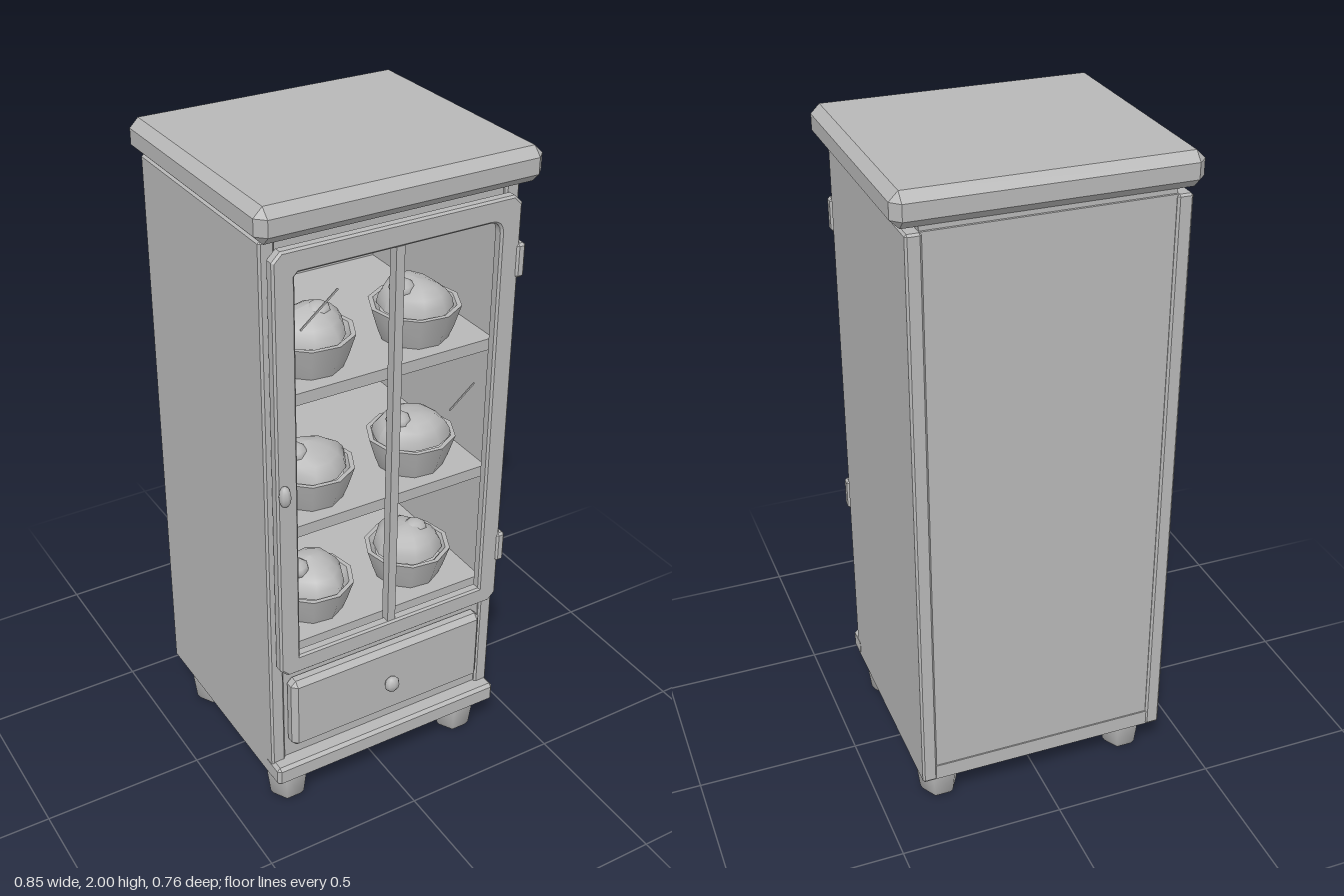
import * as THREE from 'three';
import { ConvexGeometry } from 'three/addons/geometries/ConvexGeometry.js';
import { toCreasedNormals } from 'three/addons/utils/BufferGeometryUtils.js';

const grey = new THREE.MeshStandardMaterial({ color: 0xb8b8b8 });
grey.name = 'plain grey';

function add(parent, name, geometry, x = 0, y = 0, z = 0) {
  const mesh = new THREE.Mesh(geometry, grey);
  mesh.name = name;
  mesh.position.set(x, y, z);
  parent.add(mesh);
  return mesh;
}

// Box given by its limits, with optional chamfer c on every edge
function box(parent, name, [x0, x1], [y0, y1], [z0, z1], c = 0) {
  const w = x1 - x0, h = y1 - y0, d = z1 - z0;
  let geometry;
  if (c) {
    const points = [];
    for (const sx of [-1, 1]) for (const sy of [-1, 1]) for (const sz of [-1, 1]) {
      const a = w / 2, b = h / 2, e = d / 2;
      points.push(
        new THREE.Vector3(sx * a, sy * (b - c), sz * (e - c)),
        new THREE.Vector3(sx * (a - c), sy * b, sz * (e - c)),
        new THREE.Vector3(sx * (a - c), sy * (b - c), sz * e));
    }
    geometry = new ConvexGeometry(points);
  } else geometry = new THREE.BoxGeometry(w, h, d);
  return add(parent, name, geometry, (x0 + x1) / 2, (y0 + y1) / 2, (z0 + z1) / 2);
}

function lathe(profile, sides, start = 0) {
  return new THREE.LatheGeometry(profile.map(([r, y]) => new THREE.Vector2(r, y)), sides, start);
}

// Glazed door: chamfered outline, one opening with rounded top corners
function doorFrame() {
  const X = 0.374, top = 1.87, bottom = 0.545, k = 0.025;
  const shape = new THREE.Shape([
    [-X + k, bottom], [X - k, bottom], [X, bottom + k], [X, top - k],
    [X - k, top], [-X + k, top], [-X, top - k], [-X, bottom + k],
  ].map(([x, y]) => new THREE.Vector2(x, y)));
  const a = 0.31, t = 1.805, b = 0.605, r = 0.035;
  const hole = new THREE.Path();
  hole.moveTo(-a, b);
  hole.lineTo(-a, t - 0.01);
  hole.lineTo(-a + 0.01, t);
  hole.lineTo(a - r, t);
  hole.quadraticCurveTo(a, t, a, t - r);
  hole.lineTo(a, b);
  hole.closePath();
  shape.holes.push(hole);
  return new THREE.ExtrudeGeometry(shape, {
    depth: 0.022, bevelEnabled: true, bevelThickness: 0.006, bevelSize: 0.006,
    bevelOffset: -0.006, bevelSegments: 1, curveSegments: 4,
  });
}

// Heaped food: a dome with gentle lumps
function heap(seed) {
  const g = new THREE.SphereGeometry(1, 10, 5, 0, Math.PI * 2, 0, Math.PI / 2);
  const p = g.attributes.position;
  for (let i = 0; i < p.count; i++) {
    const x = p.getX(i), y = p.getY(i), z = p.getZ(i);
    const lump = 1 + 0.05 * Math.sin(4 * x + seed) + 0.05 * Math.cos(5 * z + seed * 2);
    p.setXYZ(i, x * 0.108 * lump, y * 0.08 * lump, z * 0.108 * lump);
  }
  g.computeVertexNormals();
  return g;
}

export function createModel() {
  const model = new THREE.Group();
  model.name = 'displayCabinet';

  // Carcass
  box(model, 'topSlab', [-0.423, 0.423], [1.902, 2], [-0.38, 0.378], 0.026);
  box(model, 'topNeck', [-0.35, 0.35], [1.87, 1.905], [-0.355, 0.3]);
  for (const s of [-1, 1]) {
    const x = s > 0 ? [0.345, 0.39] : [-0.39, -0.345];
    box(model, 'sidePanel', x, [0.13, 1.89], [-0.37, 0.312], 0.006);
  }
  box(model, 'backPanel', [-0.35, 0.35], [0.14, 1.89], [-0.362, -0.34]);
  box(model, 'topRail', [-0.35, 0.35], [1.81, 1.885], [-0.35, 0.3]);
  box(model, 'bottomBoard', [-0.385, 0.385], [0.13, 0.18], [-0.366, 0.31]);
  box(model, 'plinth', [-0.391, 0.391], [0.13, 0.195], [0.27, 0.352], 0.01);

  // Shelves
  box(model, 'cabinetFloor', [-0.35, 0.35], [0.55, 0.612], [-0.345, 0.3]);
  for (const y of [1.01, 1.43]) {
    box(model, 'shelf', [-0.35, 0.35], [y - 0.035, y], [-0.345, 0.295]);
  }

  // Door with its centre bar, hinges, knob and glints
  const door = new THREE.Group();
  door.name = 'door';
  model.add(door);
  add(door, 'doorFrame', toCreasedNormals(doorFrame(), 0.5), 0, 0, 0.322);
  box(door, 'centreBar', [-0.013, 0.013], [0.6, 1.81], [0.314, 0.344]);
  for (const y of [0.74, 1.68]) {
    box(door, 'hinge', [0.362, 0.391], [y - 0.05, y + 0.05], [0.322, 0.356], 0.007);
  }
  const knobGeometry = new THREE.SphereGeometry(1, 8, 6);
  add(door, 'doorKnob', knobGeometry, -0.355, 1.17, 0.358).scale.set(0.018, 0.033, 0.018);
  for (const [x, y, length] of [[-0.235, 1.682, 0.142], [0.22, 1.297, 0.104]]) {
    const glint = add(door, 'glint', new THREE.BoxGeometry(length, 0.005, 0.003), x, y, 0.335);
    glint.rotation.z = 0.69;
  }

  // Drawer
  box(model, 'drawerSurround', [-0.35, 0.35], [0.17, 0.56], [0.26, 0.302]);
  box(model, 'drawerFront', [-0.332, 0.332], [0.25, 0.495], [0.29, 0.344], 0.016);
  add(model, 'drawerKnob', knobGeometry, 0, 0.37, 0.358).scale.set(0.025, 0.027, 0.018);

  // Six-sided feet
  const foot = toCreasedNormals(lathe(
    [[0, 0.004], [0.05, 0.004], [0.059, 0.02], [0.069, 0.1], [0.069, 0.135]], 6, Math.PI / 2), 1.1);
  for (const x of [-0.308, 0.308]) for (const z of [-0.263, 0.25]) add(model, 'foot', foot, x, 0, z);

  // Filled bowls, two on each level: x, y, offset of the topping
  const bowl = toCreasedNormals(lathe(
    [[0, 0], [0.098, 0], [0.112, 0.035], [0.132, 0.1], [0.118, 0.1], [0.1, 0.075]], 10, 0.2), 0.7);
  const bowls = [
    [-0.17, 1.43, 0.025], [0.17, 1.43, -0.05], [-0.17, 1.01, -0.05],
    [0.17, 1.01, -0.05], [-0.17, 0.612, -0.05], [0.17, 0.612, 0.02],
  ];
  bowls.forEach(([x, y, dx], i) => {
    const dish = new THREE.Group();
    dish.name = 'filledBowl';
    dish.position.set(x, y, 0.16);
    model.add(dish);
    add(dish, 'bowl', bowl);
    add(dish, 'food', heap(i * 1.7), 0, 0.092, 0);
    add(dish, 'topping', knobGeometry, dx, 0.155, 0.01).scale.set(0.038, 0.028, 0.038);
  });

  return model;
}
